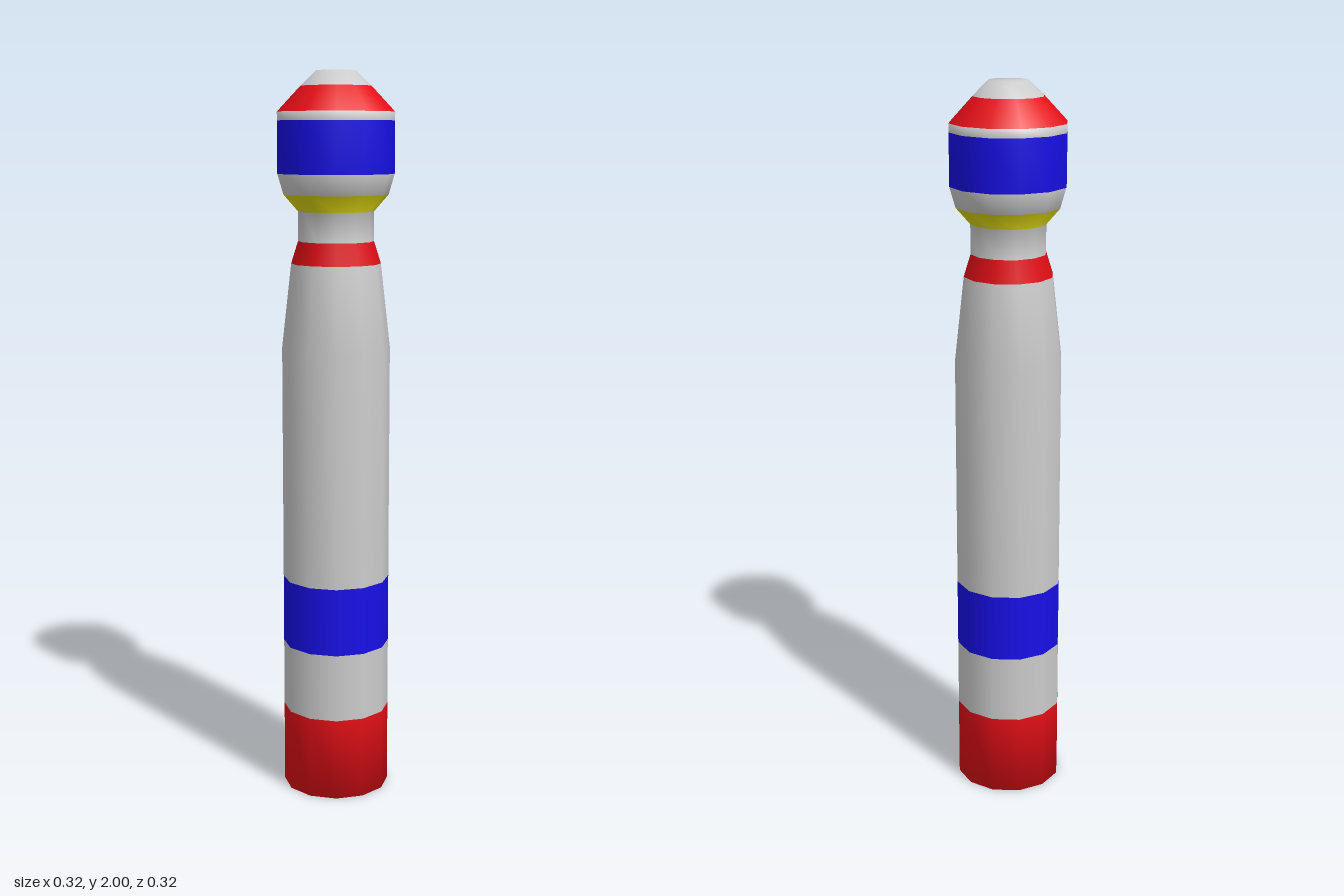
import * as THREE from 'three';

const GREY = 0xcccccc, RED = 0xe60f17, BLUE = 0x170fe6, YELLOW = 0xd6d011;
const SIDES = 12;

// Profile from the underside centre to the tip: [radius, height]
const PROFILE = [
  [0, 0], [0.148, 0], [0.148, 0.23], [0.148, 0.42], [0.148, 0.61], [0.148, 1.26],
  [0.122, 1.49], [0.103, 1.55], [0.103, 1.63], [0.142, 1.675], [0.158, 1.73],
  [0.158, 1.87], [0.158, 1.893], [0.095, 1.96], [0.053, 2], [0, 2],
];

// Coloured bands: name, colour, first and last profile point
const BANDS = [
  ['underside', GREY, 0, 1],
  ['baseBand', RED, 1, 2],
  ['lowerShaft', GREY, 2, 3],
  ['shaftBand', BLUE, 3, 4],
  ['upperShaft', GREY, 4, 6],
  ['shoulderBand', RED, 6, 7],
  ['neck', GREY, 7, 8],
  ['collar', YELLOW, 8, 9],
  ['lowerHead', GREY, 9, 10],
  ['headBand', BLUE, 10, 11],
  ['headRim', GREY, 11, 12],
  ['crownSlope', RED, 12, 13],
  ['cap', GREY, 13, 15],
];

export function createModel() {
  const group = new THREE.Group();
  group.name = 'stripedPost';

  // One turned form, so shading stays smooth across the painted bands
  const turned = new THREE.LatheGeometry(PROFILE.map(([r, y]) => new THREE.Vector2(r, y)), SIDES);
  const rows = PROFILE.length;

  for (const [name, color, from, to] of BANDS) {
    const index = [];
    for (let s = 0; s < SIDES; s++) {
      for (let p = from; p < to; p++) {
        const a = s * rows + p, b = a + rows;
        index.push(a, b, a + 1, b + 1, a + 1, b);
      }
    }
    const band = turned.clone().setIndex(index).toNonIndexed();
    const mesh = new THREE.Mesh(band, new THREE.MeshStandardMaterial({ color }));
    mesh.name = name;
    group.add(mesh);
  }
  return group;
}
